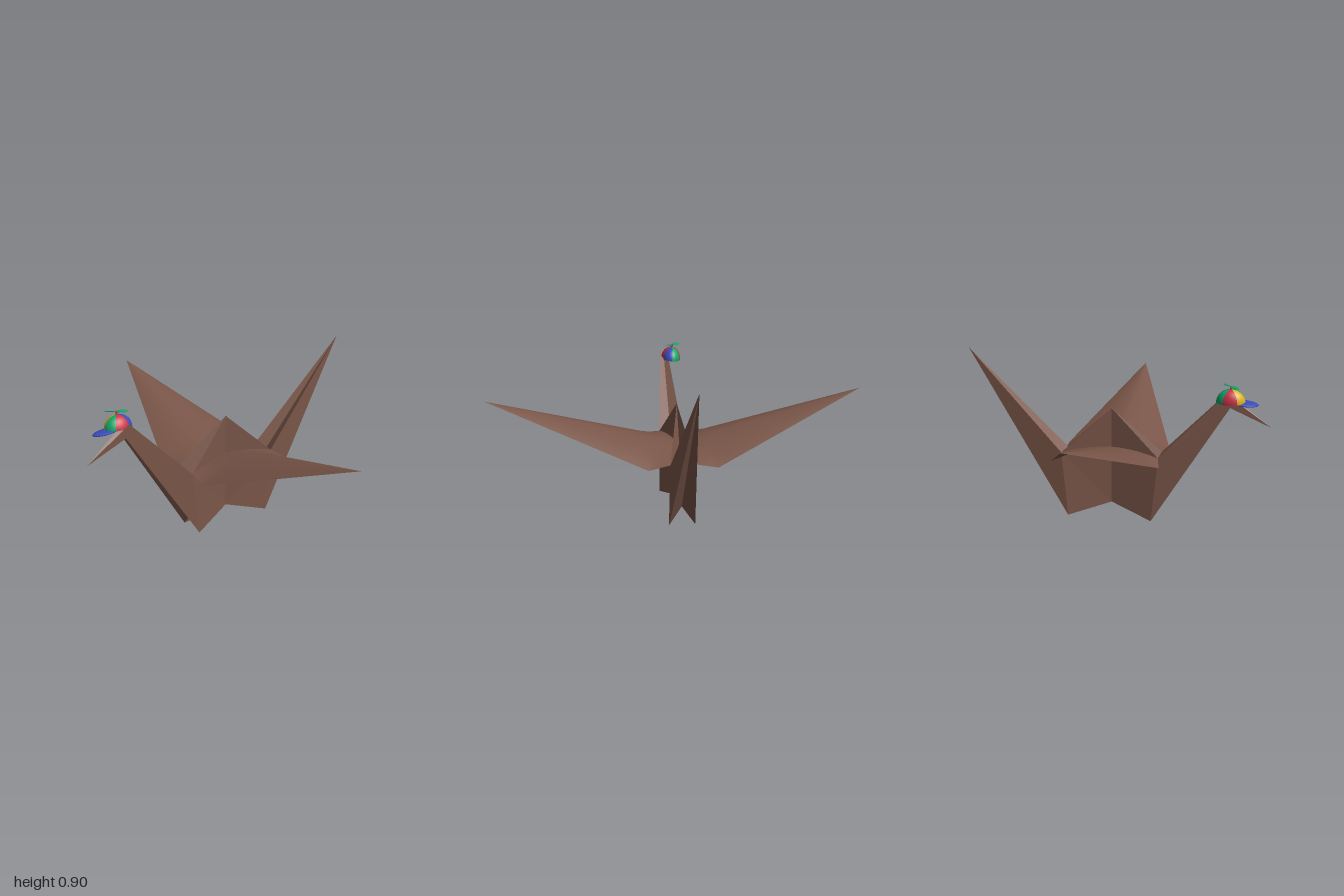
import * as THREE from 'three';

const mat = (name, color, side = THREE.FrontSide) => {
  const m = new THREE.MeshStandardMaterial({ color, side });
  m.name = name;
  return m;
};
const paper = mat('brown paper', 0x795548, THREE.DoubleSide);
const red = mat('red', 0xc92f45, THREE.DoubleSide);
const green = mat('green', 0x12a566, THREE.DoubleSide);
const blue = mat('blue', 0x3a4cba, THREE.DoubleSide);
const yellow = mat('yellow', 0xdcae14, THREE.DoubleSide);

const MID = -0.025; // z of the fold line between the wings

function add(parent, name, geometry, material) {
  const mesh = new THREE.Mesh(geometry, material);
  mesh.name = name;
  parent.add(mesh);
  return mesh;
}

// Flat-faced paper from triangles and quads of Vector3 corners
function folded(faces) {
  const p = [];
  for (const f of faces)
    for (let i = 1; i < f.length - 1; i++)
      for (const v of [f[0], f[i], f[i + 1]]) p.push(v.x, v.y, v.z);
  const g = new THREE.BufferGeometry();
  g.setAttribute('position', new THREE.Float32BufferAttribute(p, 3));
  g.computeVertexNormals();
  return g;
}

// Fold corners for one end (d = 1 front, -1 back) and one side (m = 1 or -1)
const at = (x, y, w, d) => new THREE.Vector3(x, y, MID + d * w);
const corners = (d, m) => ({
  shoulder: at(m * 0.065, 0.355, 0.265, d),
  foot: at(m * 0.07, 0, 0.23, d),
  under: at(0, 0.1, 0.215, d),
  valley: at(0, 0.24, 0.2, d),
});
const peak = at(0, 0.6, 0, 1);
const root = at(0, 0.385, 0, 1);
const keel = at(0, 0.07, 0, 1);

// Pinched body sides and the raised fin in the middle
function bodyFaces() {
  const body = [], fin = [];
  for (const d of [1, -1]) for (const m of [1, -1]) {
    const c = corners(d, m);
    body.push([c.shoulder, c.foot, keel, root]);
    fin.push([peak, c.shoulder, c.valley], [peak, c.shoulder, root]);
  }
  return { body, fin };
}

// A folded limb that tapers to a tip; cut short when fractions are given
function limb(d, cut) {
  const tip = at(0, 0.9, 0.795, d);
  const beakTip = at(0, 0.54, 0.845, d);
  const main = [], beak = [];
  for (const m of [1, -1]) {
    const c = corners(d, m);
    const ring = [c.valley, c.shoulder, c.foot, c.under];
    const end = ring.map((v, i) => v.clone().lerp(tip, cut ? cut[i] : 1));
    for (let i = 0; i < 3; i++) {
      main.push(cut ? [ring[i], ring[i + 1], end[i + 1], end[i]] : [ring[i], ring[i + 1], tip]);
      if (cut) beak.push([end[i], end[i + 1], beakTip]);
    }
  }
  return { main, beak };
}

// Arched wing: rows run from root to tip, columns from front to back edge
function wing(m) {
  const rows = 16, cols = 24, p = [], index = [];
  for (let r = 0; r <= rows; r++) for (let c = 0; c <= cols; c++) {
    const s = (c / cols) * 2 - 1, a = Math.abs(s);
    let x, edge, half;
    if (r < 4) { // short stretch beside the body
      const t = r / 4;
      x = THREE.MathUtils.lerp(0.065 * a, 0.18, t);
      edge = THREE.MathUtils.lerp(0.355, 0.34, t);
      half = THREE.MathUtils.lerp(0.265, 0.288, t);
    } else { // straight taper to the point
      const t = (r - 4) / (rows - 4);
      x = THREE.MathUtils.lerp(0.18, 1, t);
      edge = THREE.MathUtils.lerp(0.34, 0.65, t);
      half = 0.288 * (1 - t);
    }
    const ridge = 0.385 + 0.265 * x;
    p.push(m * x, edge + (ridge - edge) * (1 - a ** 1.6), MID + half * s);
    if (r < rows && c < cols) {
      const i = r * (cols + 1) + c, j = i + cols + 1;
      if (m > 0) index.push(i, i + 1, j, i + 1, j + 1, j);
      else index.push(i, j, i + 1, i + 1, j, j + 1);
    }
  }
  const g = new THREE.BufferGeometry();
  g.setAttribute('position', new THREE.Float32BufferAttribute(p, 3));
  g.setIndex(index);
  g.computeVertexNormals();
  return g;
}

// Cap with six coloured panels, a brim and a propeller
function cap() {
  const g = new THREE.Group();
  g.name = 'propellerCap';
  [red, yellow, green, red, blue, green].forEach((m, k) => {
    const step = Math.PI / 3;
    const panel = add(g, 'capPanel' + (k + 1),
      new THREE.SphereGeometry(1, 8, 12, (k - 0.5) * step, step, 0, Math.PI / 2), m);
    panel.scale.set(0.055, 0.07, 0.075);
  });
  const brim = add(g, 'brim', new THREE.SphereGeometry(1, 24, 10), blue);
  brim.scale.set(0.046, 0.01, 0.075);
  brim.position.set(0, -0.003, 0.068);
  brim.rotation.x = 0.08;
  add(g, 'propellerStem', new THREE.CylinderGeometry(0.004, 0.005, 0.022, 10), red).position.y = 0.076;
  const propeller = new THREE.Group();
  propeller.name = 'propeller';
  propeller.position.y = 0.085;
  propeller.rotation.y = Math.PI / 4;
  for (const s of [1, -1]) {
    const blade = add(propeller, 'propellerBlade', new THREE.SphereGeometry(1, 16, 8), green);
    blade.scale.set(0.03, 0.003, 0.014);
    blade.position.x = s * 0.03;
    blade.rotation.x = s * 0.25;
  }
  g.add(propeller);
  g.position.set(-0.043, 0.676, 0.61);
  g.rotation.z = 0.12;
  return g;
}

export function createModel() {
  const model = new THREE.Group();
  model.name = 'foldedPaperBird';
  const { body, fin } = bodyFaces();
  add(model, 'body', folded(body), paper);
  add(model, 'backFin', folded(fin), paper);
  const neck = limb(1, [0.67, 0.65, 0.71, 0.7]);
  add(model, 'neck', folded(neck.main), paper);
  add(model, 'beak', folded(neck.beak), paper);
  add(model, 'tail', folded(limb(-1).main), paper);
  add(model, 'leftWing', wing(1), paper);
  add(model, 'rightWing', wing(-1), paper);
  model.add(cap());
  return model;
}
